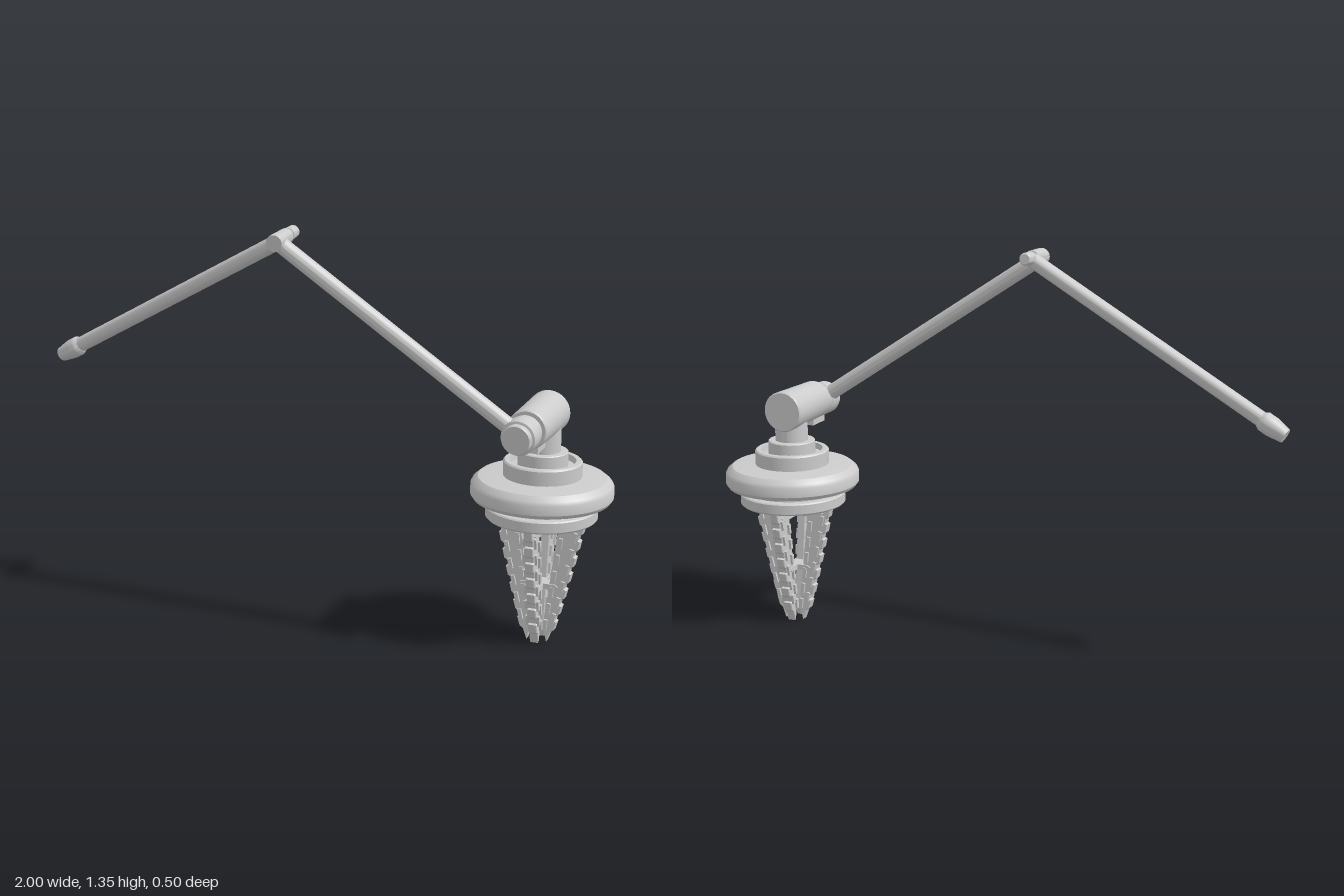
import * as THREE from 'three';
import { toCreasedNormals } from 'three/addons/utils/BufferGeometryUtils.js';

const material = new THREE.MeshStandardMaterial({ color: 0xcccccc });
const HEAD_X = 0.765, HEAD_Z = -0.015;

function add(parent, name, geometry) {
  const mesh = new THREE.Mesh(geometry, material);
  mesh.name = name;
  parent.add(mesh);
  return mesh;
}

// Turned part: profile of [radius, height] pairs, from the bottom axis to the top axis
function turned(parent, name, profile, segments = 48) {
  const points = profile.map(([r, y]) => new THREE.Vector2(r, y));
  return add(parent, name, toCreasedNormals(new THREE.LatheGeometry(points, segments), 0.55));
}

// Turned part whose axis runs from a to b; heights are measured from a
function turnedAlong(parent, name, a, b, profileFor) {
  const start = new THREE.Vector3(...a), dir = new THREE.Vector3(...b).sub(start);
  const mesh = turned(parent, name, profileFor(dir.length()), 32);
  mesh.position.copy(start);
  mesh.quaternion.setFromUnitVectors(new THREE.Vector3(0, 1, 0), dir.normalize());
  return mesh;
}

const rod = r => len => [[0, 0], [r, 0], [r, len], [0, len]];

function buildArm(arm) {
  // Forearm and upper arm, meeting at the elbow
  turnedAlong(arm, 'forearm', [0.75, 0.76, 0.195], [-0.08, 1.315, 0.195], rod(0.027));
  turnedAlong(arm, 'upperArm', [-0.08, 1.318, 0.137], [-0.93, 0.85, 0.044], rod(0.026));
  turnedAlong(arm, 'armEndCap', [-0.9, 0.866, 0.047], [-0.984, 0.82, 0.038], len => [
    [0, 0], [0.027, 0], [0.034, 0.012], [0.034, 0.045], [0.025, len], [0, len]]);

  // Elbow pin with a narrower tail
  turnedAlong(arm, 'elbowPin', [-0.076, 1.317, 0.235], [-0.076, 1.331, 0.07], len => [
    [0, 0], [0.028, 0], [0.029, 0.01], [0.026, 0.1], [0.019, 0.102], [0.019, 0.112],
    [0.023, 0.114], [0.021, len - 0.006], [0.017, len], [0, len]]);
}

function buildWrist(wrist) {
  // Horizontal motor housing
  turnedAlong(wrist, 'motorHousing', [0.757, 0.767, 0.154], [0.762, 0.77, -0.087], len => [
    [0, 0], [0.062, 0], [0.066, 0.005], [0.071, len - 0.005], [0.067, len], [0, len]]);

  // Stepped joint that carries the forearm
  turnedAlong(wrist, 'wristJoint', [0.75, 0.758, 0.25], [0.755, 0.764, 0.14], len => [
    [0, 0], [0.046, 0], [0.049, 0.004], [0.049, 0.02], [0.057, 0.022],
    [0.059, 0.07], [0.054, 0.074], [0.054, len], [0, len]]);

  // Small clamp below the motor
  const clamp = add(wrist, 'motorClamp', new THREE.BoxGeometry(0.075, 0.05, 0.085));
  clamp.position.set(0.757, 0.717, 0.108);
}

function buildHousing(head) {
  turned(head, 'neck', [[0, 0.6], [0.057, 0.6], [0.057, 0.76], [0, 0.76]]);
  turned(head, 'neckFlange', [[0, 0.58], [0.082, 0.58], [0.082, 0.654], [0.079, 0.657], [0, 0.657]]);

  // Collar with a shallow groove around the neck
  turned(head, 'collar', [[0, 0.55], [0.129, 0.55], [0.129, 0.62], [0.124, 0.625],
    [0.108, 0.625], [0.104, 0.605], [0, 0.605]]);

  // Wide disc, domed above and hollowed below
  turned(head, 'disc', [[0, 0.52], [0.19, 0.52], [0.2, 0.497], [0.225, 0.495], [0.234, 0.508],
    [0.234, 0.54], [0.228, 0.552], [0.21, 0.567], [0.17, 0.572], [0, 0.575]], 64);

  // Lower ring, open below
  turned(head, 'lowerRing', [[0, 0.455], [0.145, 0.455], [0.15, 0.428], [0.178, 0.428],
    [0.184, 0.434], [0.184, 0.466], [0.18, 0.47], [0.16, 0.472], [0.16, 0.492],
    [0.172, 0.495], [0.172, 0.525], [0, 0.525]], 64);
}

// Outer and inner edge of a claw at height y
const outerEdge = y => 0.036 + 0.114 * Math.pow(y / 0.45, 0.85);
const innerEdge = y => 0.016 + 0.055 * y / 0.45;

// Blade in the xy plane with a barbed outer edge and raised scales
function buildClaw() {
  const claw = new THREE.Group();
  claw.name = 'claw';
  const shape = new THREE.Shape();
  shape.moveTo(innerEdge(0.46), 0.46);
  shape.lineTo(innerEdge(0.05), 0.05);
  shape.lineTo(0.034, 0);
  const barbs = 7, step = 0.058;
  for (let i = 0; i < barbs; i++) {
    const y = 0.035 + i * step;
    shape.lineTo(outerEdge(y) - 0.003, y);
    shape.lineTo(outerEdge(y + 0.008) + 0.006, y + 0.008);
    shape.lineTo(outerEdge(y + 0.036) + 0.006, y + 0.036);
    shape.lineTo(outerEdge(y + 0.04) - 0.003, y + 0.04);
  }
  shape.lineTo(outerEdge(0.46), 0.46);
  const blade = new THREE.ExtrudeGeometry(shape, {
    depth: 0.024, bevelEnabled: true, bevelThickness: 0.003, bevelSize: 0.002, bevelSegments: 1 });
  add(claw, 'clawBlade', blade.translate(0, 0, -0.012));

  // Two staggered columns of scales standing out on both faces
  for (const [count, mix, lean, y0] of [[6, 0.8, -0.24, 0.085], [6, 0.2, -0.12, 0.06]]) {
    for (let i = 0; i < count; i++) {
      const y = y0 + i * step;
      const scale = add(claw, 'clawScale', new THREE.BoxGeometry(0.013, 0.036, 0.046));
      scale.position.set(THREE.MathUtils.lerp(innerEdge(y), outerEdge(y), mix), y, 0);
      scale.rotation.z = lean;
    }
  }
  return claw;
}

// Bar along x with pointed ends
function buildBrace(parent, half, height, y) {
  const s = new THREE.Shape();
  const h = height / 2, p = half - height * 0.6;
  [[-half, 0], [-p, -h], [p, -h], [half, 0], [p, h], [-p, h]]
    .forEach(([x, v], i) => (i ? s.lineTo(x, v) : s.moveTo(x, v)));
  const geometry = new THREE.ExtrudeGeometry(s, { depth: 0.04, bevelEnabled: false });
  return add(parent, 'clawBrace', geometry.translate(0, y, -0.02));
}

export function createModel() {
  const model = new THREE.Group();
  model.name = 'roboticGripperArm';

  const arm = new THREE.Group();
  arm.name = 'arm';
  buildArm(arm);

  const wrist = new THREE.Group();
  wrist.name = 'wrist';
  buildWrist(wrist);

  const head = new THREE.Group();
  head.name = 'gripperHead';
  head.position.set(HEAD_X, 0, HEAD_Z);
  buildHousing(head);

  // Four claws around the axis, tied by crossed braces
  for (let i = 0; i < 4; i++) {
    const claw = buildClaw();
    claw.rotation.y = i * Math.PI / 2;
    head.add(claw);
  }
  for (let i = 0; i < 2; i++) {
    buildBrace(head, 0.125, 0.03, 0.4).rotation.y = i * Math.PI / 2;
    buildBrace(head, 0.07, 0.018, 0.195).rotation.y = i * Math.PI / 2;
  }

  model.add(arm, wrist, head);
  return model;
}
